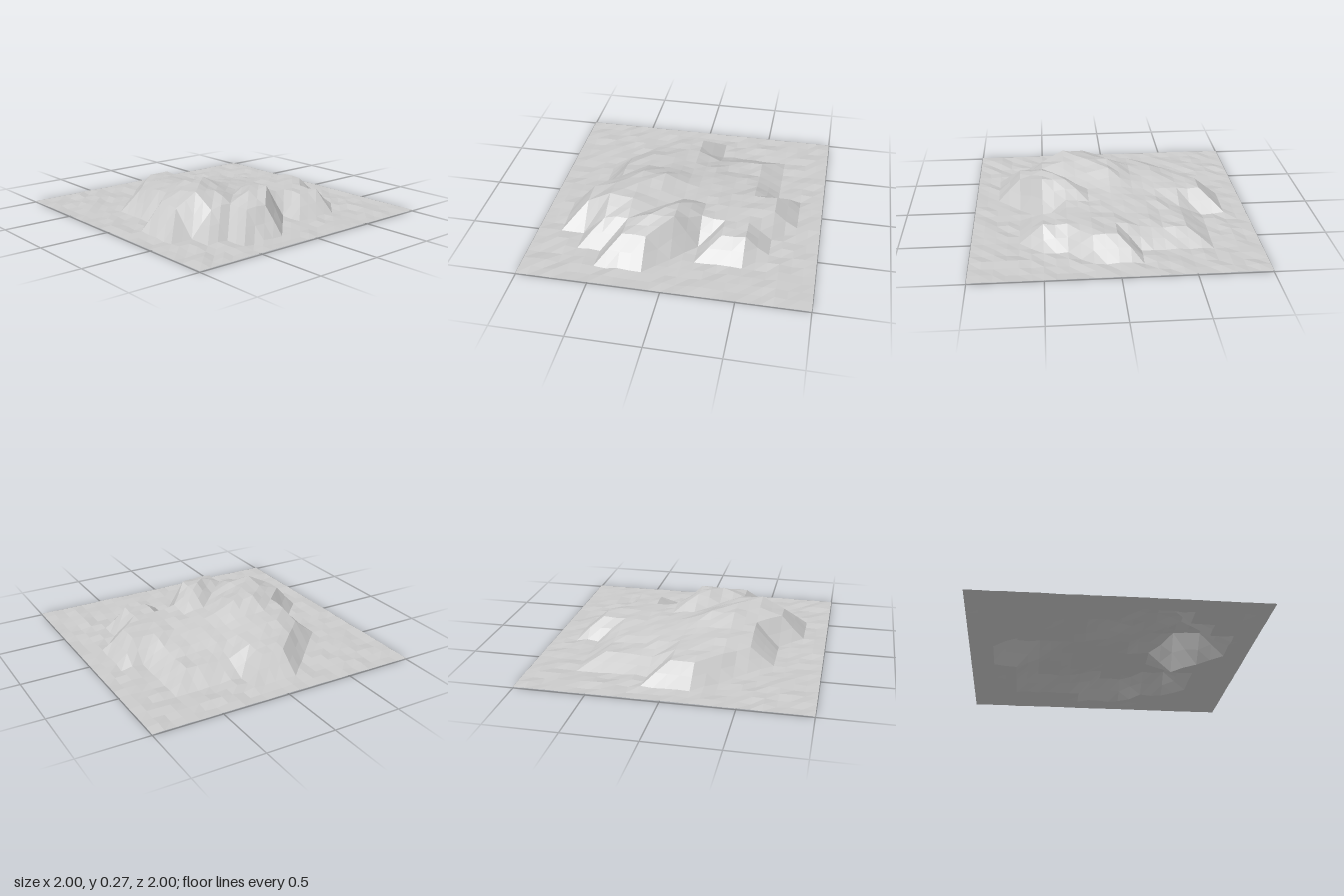
import * as THREE from 'three';

const CELLS = 12;      // coarse lattice that shapes the hills
const FINE = 24;       // mesh divisions, two per coarse cell
const GROUND = 0.016;

// Cross-sections from back to front: [row, first column, heights...]
const sections = [
  [2, 5, 0.15, 0.15],
  [3, 4, 0.15, 0.17, 0.15, 0.09, 0.09, 0.09],
  [4, 3, 0.15, 0.19, 0.19, 0.15, 0.13, 0.10, 0.10],
  [5, 3, 0.19, 0.20, 0.20, 0.17, 0.15, 0.13, 0.12],
  [6, 3, 0.20, 0.26, 0.26, 0.19, 0.16, 0.15, 0.15, 0.15],
  [7, 2, 0.19, 0.25, 0.27, 0.22, 0.18, 0.16, 0.15, 0.15, 0.15],
  [8, 2, 0.19, 0.27, 0.25, 0.19, 0.265, 0.16, 0.15, 0.15],
  [9, 3, 0.19, 0.20, 0.26, 0.26, GROUND, 0.15, 0.15],
  [10, 4, 0.19, 0.19],
];

function seeded(seed) {
  let s = seed;
  return () => (s = (s * 16807) % 2147483647) / 2147483647;
}

function coarseHeight(col, row) {
  const section = sections.find((s) => s[0] === row);
  return section?.[2 + col - section[1]] !== undefined && col >= section[1]
    ? section[2 + col - section[1]]
    : GROUND;
}

// Midpoints follow the lattice edges and the diagonal of each cell
function fineHeight(i, j) {
  const c0 = Math.floor(i / 2), c1 = Math.ceil(i / 2);
  const r0 = Math.floor(j / 2), r1 = Math.ceil(j / 2);
  return (coarseHeight(c0, r1) + coarseHeight(c1, r0)) / 2;
}

export function createModel() {
  const group = new THREE.Group();
  group.name = 'terrain';

  // Square sheet raised into hills, with slight roughness
  const geometry = new THREE.PlaneGeometry(2, 2, FINE, FINE).rotateX(-Math.PI / 2);
  const position = geometry.attributes.position;
  const random = seeded(77);
  for (let j = 0; j <= FINE; j++) {
    for (let i = 0; i <= FINE; i++) {
      const rim = i === 0 || j === 0 || i === FINE || j === FINE;
      const bump = (random() - 0.5) * (rim ? 0.004 : 0.018);
      position.setY(j * (FINE + 1) + i, fineHeight(i, j) + bump);
    }
  }
  geometry.computeBoundingBox();
  geometry.translate(0, -geometry.boundingBox.min.y, 0);
  geometry.computeVertexNormals();

  const land = new THREE.Mesh(
    geometry,
    new THREE.MeshStandardMaterial({ color: 0xcccccc, flatShading: true, side: THREE.DoubleSide })
  );
  land.name = 'hillyGround';
  group.add(land);
  return group;
}
